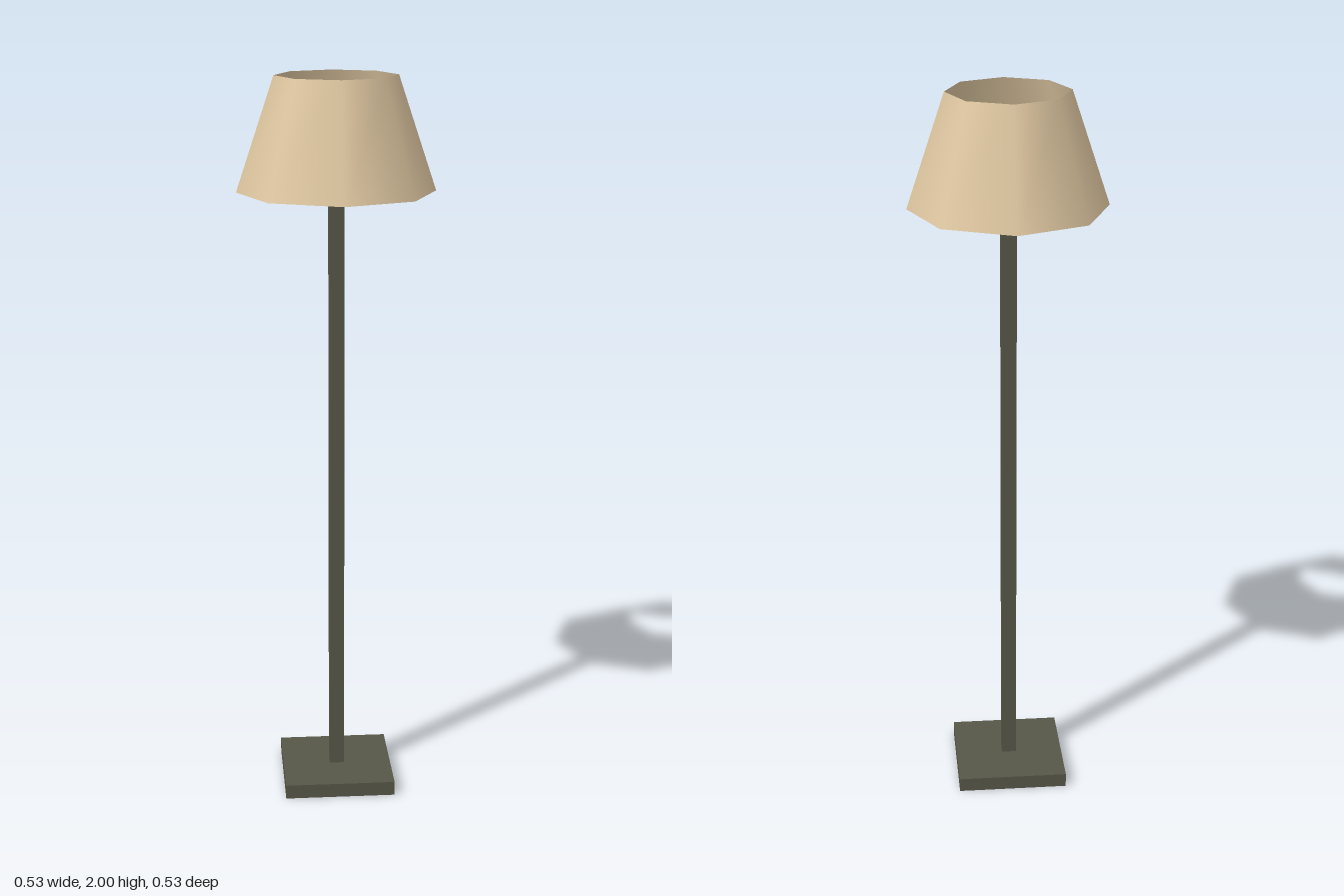
import * as THREE from 'three';

export function createModel() {
  const model = new THREE.Group();
  model.name = 'floorLamp';

  const darkMetal = new THREE.MeshStandardMaterial({ color: 0x565648 });
  darkMetal.name = 'darkMetal';
  const beigeFabric = new THREE.MeshStandardMaterial({ color: 0xe0c8a2, side: THREE.DoubleSide });
  beigeFabric.name = 'beigeFabric';

  const add = (name, geometry, material, y) => {
    const mesh = new THREE.Mesh(geometry, material);
    mesh.name = name;
    mesh.position.y = y;
    model.add(mesh);
  };

  // Square foot
  const baseHeight = 0.04;
  add('base', new THREE.BoxGeometry(0.308, baseHeight, 0.308), darkMetal, baseHeight / 2);

  // Square post, ending inside the shade
  const poleTop = 1.77;
  add('pole', new THREE.BoxGeometry(0.041, poleTop - baseHeight, 0.041), darkMetal, (poleTop + baseHeight) / 2);

  // Open eight-sided shade with smooth shading
  add('shade', new THREE.CylinderGeometry(0.164, 0.266, 0.304, 8, 1, true), beigeFabric, 1.848);

  return model;
}
